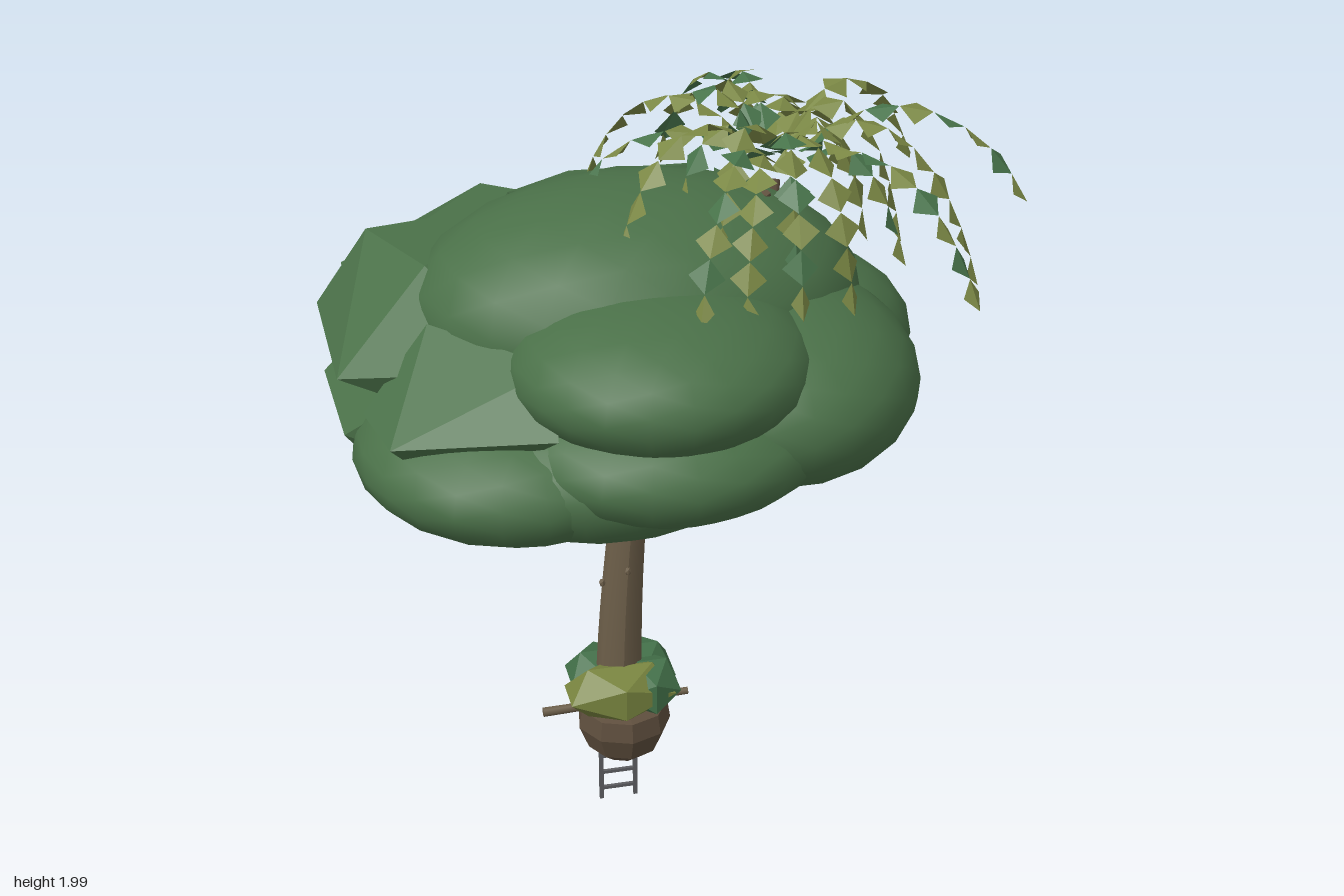
import * as THREE from 'three';
import { ConvexGeometry } from 'three/addons/geometries/ConvexGeometry.js';

const V = (x, y, z) => new THREE.Vector3(x, y, z);
const UP = V(0, 1, 0);

export function createModel() {
  const root = new THREE.Group();
  const mat = (name, color, side = THREE.FrontSide) => {
    const m = new THREE.MeshStandardMaterial({ color, side });
    m.name = name;
    return m;
  };
  const foliage = mat('canopy green', 0x4a7048);
  const bark = mat('bark brown', 0x6b5d48);
  const soil = mat('soil brown', 0x5e4e3d);
  const bushGreen = mat('bush green', 0x426f48);
  const bushOlive = mat('bush olive', 0x78843f);
  const leafGreen = mat('leaf green', 0x48744b, THREE.DoubleSide);
  const leafOlive = mat('leaf olive', 0x7b8845, THREE.DoubleSide);
  const metal = mat('ladder grey', 0x5c5d60);

  const add = (name, geometry, material, parent = root) => {
    const mesh = new THREE.Mesh(geometry, material);
    mesh.name = name;
    parent.add(mesh);
    return mesh;
  };
  const group = (name) => {
    const g = new THREE.Group();
    g.name = name;
    root.add(g);
    return g;
  };
  // Tapered rod between two points
  const rod = (name, a, b, r0, r1, material, parent, sides = 7) => {
    const m = add(name, new THREE.CylinderGeometry(r1, r0, a.distanceTo(b), sides), material, parent);
    m.position.copy(a).lerp(b, 0.5);
    m.quaternion.setFromUnitVectors(UP, b.clone().sub(a).normalize());
  };
  // Ellipsoid from an icosahedron: faceted at detail 0, smooth above
  const blob = (name, [x, y, z], [rx, ry, rz], detail, material, parent) => {
    const g = new THREE.IcosahedronGeometry(1, detail).scale(rx, ry, rz);
    add(name, g, material, parent).position.set(x, y, z);
  };

  // Gently curving trunk
  const trunkGeo = new THREE.CylinderGeometry(0.047, 0.066, 0.72, 12, 8).translate(0, 0.62, 0);
  const p = trunkGeo.attributes.position;
  for (let i = 0; i < p.count; i++) {
    const t = (p.getY(i) - 0.26) / 0.72;
    p.setX(i, p.getX(i) - 0.138 + 0.04 * t * t);
    p.setZ(i, p.getZ(i) - 0.022);
  }
  trunkGeo.computeVertexNormals();
  add('trunk', trunkGeo, bark);
  [[-0.18, 0.7, -0.01], [-0.12, 0.75, 0.03], [-0.07, 0.8, -0.045]].forEach((k) =>
    blob('trunkKnot', k, [0.009, 0.013, 0.009], 0, bark, root));

  // Branches fanning out under the canopy
  const branches = group('branches');
  [[10, 0.35, 1.25, 0.2], [6, 0.17, 1.32, 0.5]].forEach(([n, radius, y, phase]) => {
    for (let i = 0; i < n; i++) {
      const a = phase + (i / n) * Math.PI * 2, c = Math.cos(a), s = Math.sin(a);
      rod('branch', V(-0.11 + 0.02 * c, 0.88, -0.022 + 0.02 * s),
        V(-0.1 + radius * c, y, -0.03 + radius * s), 0.027, 0.019, bark, branches);
    }
  });

  // Smooth rounded canopy masses
  const canopy = group('canopy');
  [
    ['topDome', [-0.09, 1.53, 0.01], [0.56, 0.29, 0.4]],
    ['rightMass', [0.23, 1.37, -0.03], [0.39, 0.23, 0.3]],
    ['frontRightMass', [0.2, 1.38, 0.2], [0.36, 0.235, 0.41]],
    ['frontUpperMass', [-0.1, 1.5, 0.32], [0.37, 0.18, 0.36]],
    ['frontLowerMass', [-0.09, 1.32, 0.3], [0.41, 0.18, 0.39]],
    ['leftLowerMass', [-0.42, 1.26, 0.2], [0.4, 0.18, 0.4]],
    ['undersideMass', [-0.22, 1.27, 0.22], [0.45, 0.2, 0.4]],
  ].forEach(([name, c, r]) => blob(name, c, r, 3, foliage, canopy));

  // Angular faceted canopy masses
  const hulls = {
    leftUpperFacets: [[-0.84, 1.46, 0.17], [-0.84, 1.45, -0.28], [-0.71, 1.65, -0.25], [-0.6, 1.65, 0],
      [-0.4, 1.5, 0.32], [-0.76, 1.37, -0.05], [-0.3, 1.66, -0.3], [-0.4, 1.3, -0.45], [-0.4, 1.25, 0.2]],
    leftLowerFacets: [[-0.84, 1.3, -0.2], [-0.83, 1.3, 0.15], [-0.71, 1.12, 0.1], [-0.72, 1.13, -0.22],
      [-0.65, 1.43, -0.3], [-0.6, 1.42, 0.15], [-0.35, 1.1, -0.25], [-0.4, 1.1, 0.2], [-0.4, 1.35, -0.45]],
    frontLeftFacets: [[-0.79, 1.39, 0.22], [-0.75, 1.38, 0.4], [-0.62, 1.57, 0.15], [-0.38, 1.42, 0.52],
      [-0.6, 1.2, 0.3], [-0.36, 1.55, 0.4], [-0.4, 1.4, 0.1]],
    backLeftFacets: [[-0.76, 1.48, -0.44], [-0.74, 1.25, -0.4], [-0.77, 1.5, -0.2], [-0.37, 1.48, -0.58],
      [-0.36, 1.2, -0.58], [-0.38, 1.62, -0.54], [-0.6, 1.62, -0.28], [-0.2, 1.68, -0.25], [-0.5, 1.12, -0.25],
      [-0.15, 1.13, -0.3]],
    backFacets: [[-0.12, 1.57, -0.69], [-0.12, 1.19, -0.69], [0.24, 1.48, -0.57], [-0.42, 1.42, -0.56],
      [0.14, 1.73, -0.29], [-0.35, 1.7, -0.28], [0.22, 1.17, -0.45], [-0.4, 1.13, -0.32], [0.25, 1.2, -0.15],
      [-0.1, 1.14, -0.25]],
    backRightFacets: [[0.46, 1.5, -0.47], [0.49, 1.44, -0.22], [0.44, 1.17, -0.2], [0.24, 1.61, -0.53],
      [0.2, 1.18, -0.55], [0.43, 1.22, -0.44], [0.25, 1.66, -0.26], [0.1, 1.14, -0.22], [0.44, 1.17, 0.02],
      [0.1, 1.17, 0]],
  };
  for (const [name, points] of Object.entries(hulls)) {
    add(name, new ConvexGeometry(points.map((q) => V(...q))), foliage, canopy);
  }

  // Hanging fronds: chains of folded diamond leaves
  const crown = V(0.25, 1.74, -0.01);
  const sprout = group('frondPlant');
  const tips = [
    [0.84, 1.75, 0.18], [0.72, 1.55, 0.2], [0.64, 1.6, 0.44], [0.68, 1.71, -0.24], [0.27, 1.74, -0.58],
    [0.52, 1.67, -0.32], [0.08, 1.66, -0.47], [-0.14, 1.67, -0.38], [-0.2, 1.78, -0.1], [-0.18, 1.72, 0.22],
    [-0.04, 1.64, 0.47], [0.08, 1.6, 0.42], [0.2, 1.64, 0.48], [0.36, 1.58, 0.36], [0.52, 1.64, 0.24],
    [0.58, 1.6, 0.02], [0.0, 1.76, 0.06], [0.42, 1.72, -0.42], [0.02, 1.76, -0.26], [0.46, 1.66, 0.12],
    [0.24, 1.66, 0.28], [0.06, 1.7, 0.24], [0.26, 1.75, -0.34], [0.5, 1.72, -0.12],
  ];
  const leafVerts = [[], []];
  tips.forEach((tip, f) => {
    const end = V(...tip);
    const peak = 1.985 - 0.035 * (f % 3);
    const y = (peak - 0.125 * (crown.y + end.y)) / 0.75;
    const curve = new THREE.CubicBezierCurve3(crown, crown.clone().lerp(end, 0.2).setY(y),
      crown.clone().lerp(end, 0.75).setY(y), end);
    const n = Math.max(6, Math.round(curve.getLength() / 0.08));
    for (let i = 2; i < n; i++) {
      const a = curve.getPointAt(i / n), b = curve.getPointAt(Math.min(1, (i + 0.98) / n));
      const dir = b.clone().sub(a).normalize();
      const side = dir.clone().cross(UP).normalize();
      side.applyAxisAngle(dir, 0.35 * Math.sin(f * 2.3 + i * 1.7));
      const drop = side.clone().cross(dir).multiplyScalar(-0.014);
      const mid = a.clone().lerp(b, 0.5).add(drop);
      const w = i === n - 1 ? 0.024 : 0.043;
      const l = mid.clone().addScaledVector(side, w), r = mid.clone().addScaledVector(side, -w);
      const out = leafVerts[(f + i * (1 + (f % 2))) % 2];
      [a, l, b, a, b, r].forEach((q) => out.push(q.x, q.y, q.z));
    }
  });
  leafVerts.forEach((verts, i) => {
    const g = new THREE.BufferGeometry();
    g.setAttribute('position', new THREE.Float32BufferAttribute(verts, 3));
    g.computeVertexNormals();
    add(i ? 'oliveLeaves' : 'greenLeaves', g, i ? leafOlive : leafGreen, sprout);
  });
  for (let i = 0; i < 6; i++) {
    const a = (i / 6) * Math.PI * 2;
    rod('frondStem', V(0.25, 1.64, -0.01),
      V(0.25 + 0.045 * Math.cos(a), 1.77, -0.01 + 0.045 * Math.sin(a)), 0.02, 0.012, soil, sprout, 5);
  }

  // Faceted root ball
  const base = group('base');
  const profile = [[0, 0.155], [0.055, 0.16], [0.1, 0.198], [0.126, 0.265], [0.118, 0.32], [0, 0.345]];
  const ball = new THREE.LatheGeometry(profile.map((q) => new THREE.Vector2(...q)), 9).toNonIndexed();
  ball.computeVertexNormals();
  add('rootBall', ball, soil, base).position.set(-0.128, 0, -0.012);

  // Bushes and cross pole
  blob('oliveBush', [-0.145, 0.39, 0.035], [0.165, 0.086, 0.098], 0, bushOlive, base);
  blob('greenBush', [-0.08, 0.39, -0.06], [0.11, 0.086, 0.118], 0, bushGreen, base);
  blob('greenBush', [-0.062, 0.39, 0.022], [0.086, 0.084, 0.1], 0, bushGreen, base);
  blob('greenBush', [-0.18, 0.385, -0.065], [0.1, 0.082, 0.1], 0, bushGreen, base);
  rod('crossPole', V(-0.345, 0.314, -0.015), V(0.05, 0.324, -0.015), 0.013, 0.01, bark, base);

  // Ladder
  const ladder = group('ladder');
  for (const x of [-0.188, -0.094]) {
    add('ladderRail', new THREE.BoxGeometry(0.011, 0.24, 0.011), metal, ladder).position.set(x, 0.12, -0.025);
  }
  for (const y of [0.033, 0.085, 0.138, 0.19]) {
    add('ladderRung', new THREE.BoxGeometry(0.094, 0.009, 0.009), metal, ladder).position.set(-0.141, y, -0.025);
  }
  return root;
}
